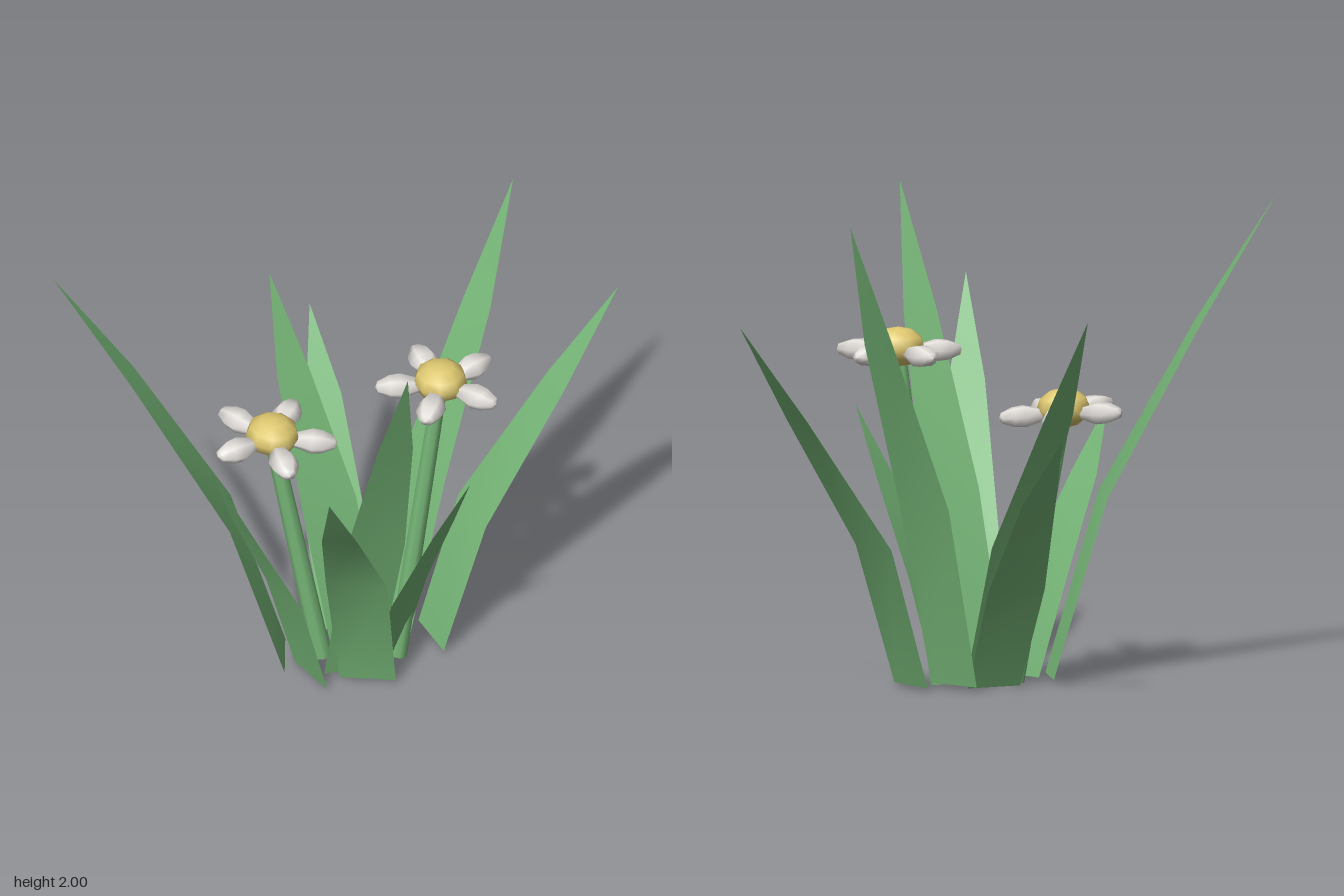
import * as THREE from 'three';

const green = new THREE.MeshStandardMaterial({ color: 0x77b778, side: THREE.DoubleSide });
green.name = 'leaf green';
const white = new THREE.MeshStandardMaterial({ color: 0xe2deda });
white.name = 'petal white';
const yellow = new THREE.MeshStandardMaterial({ color: 0xdec870 });
yellow.name = 'pollen yellow';

// Tapering blade: centre line through [x, z] points, width across the outward direction
function bladeGeometry(height, angle, centres) {
  const levels = [0.01, 0.385, 0.74, 1];
  const halfWidths = [0.117, 0.127, 0.075, 0];
  const wx = -Math.sin(angle), wz = Math.cos(angle);
  const positions = [], index = [];
  centres.forEach(([x, z], i) => {
    for (const s of [-1, 1]) {
      positions.push(x + s * wx * halfWidths[i], height * levels[i], z + s * wz * halfWidths[i]);
    }
    if (i < 3) {
      const a = i * 2;
      index.push(a, a + 2, a + 1);
      if (i < 2) index.push(a + 1, a + 2, a + 3);
    }
  });
  // The tip triangle uses one of the two coincident tip points
  const g = new THREE.BufferGeometry();
  g.setAttribute('position', new THREE.Float32BufferAttribute(positions, 3));
  g.setIndex(index);
  g.computeVertexNormals();
  return g;
}

// Height, outward direction [x, z], then centres at base, lower bend, upper bend and tip
const blades = [
  [2.0, [0.27, -0.96], [[0.20, -0.22], [0.275, -0.365], [0.355, -0.67], [0.405, -0.87]]],
  [2.0, [-0.86, 0.50], [[-0.07, 0.17], [-0.255, 0.30], [-0.595, 0.51], [-0.87, 0.69]]],
  [2.0, [0.70, 0.70], [[0.215, 0.11], [0.38, 0.20], [0.585, 0.38], [0.735, 0.53]]],
  [1.57, [0.54, -0.84], [[0.375, -0.26], [0.48, -0.415], [0.70, -0.72], [0.865, -0.945]]],
  [1.57, [0.43, 0.90], [[0.30, 0.125], [0.33, 0.265], [0.495, 0.675], [0.605, 0.945]]],
  [1.57, [-0.88, -0.47], [[0.10, -0.105], [-0.04, -0.14], [-0.265, -0.22], [-0.42, -0.29]]],
  [1.13, [-0.71, -0.71], [[0.05, -0.15], [-0.10, -0.28], [-0.29, -0.51], [-0.465, -0.69]]],
  [1.13, [-0.40, 0.90], [[0.085, 0.22], [-0.01, 0.28], [-0.12, 0.43], [-0.19, 0.53]]],
  [1.13, [1.0, 0.08], [[0.30, -0.03], [0.425, 0.0], [0.60, 0.02], [0.735, 0.03]]],
];

// Plump petal lying along +x, slightly flattened in y
function petalGeometry() {
  const profile = [[0, 0.06], [0.035, 0.09], [0.062, 0.165], [0.056, 0.21], [0.03, 0.26], [0, 0.27]]
    .map(([r, l]) => new THREE.Vector2(r, l));
  const g = new THREE.LatheGeometry(profile, 6);
  g.rotateZ(-Math.PI / 2);
  g.scale(1, 0.78, 1);
  return g;
}

function createFlower(base, top, startAngle, tilt) {
  const flower = new THREE.Group();
  flower.name = 'flower';

  // Straight stem, thicker at the ground
  const along = new THREE.Vector3().subVectors(top, base);
  const stem = new THREE.Mesh(new THREE.CylinderGeometry(0.033, 0.042, along.length(), 8), green);
  stem.name = 'stem';
  stem.position.addVectors(base, top).multiplyScalar(0.5);
  stem.quaternion.setFromUnitVectors(new THREE.Vector3(0, 1, 0), along.normalize());
  flower.add(stem);

  const head = new THREE.Group();
  head.name = 'flowerHead';
  head.position.copy(top);
  head.rotation.set(tilt[0], 0, tilt[1]);

  const centre = new THREE.Mesh(new THREE.SphereGeometry(0.112, 9, 6), yellow);
  centre.name = 'flowerCentre';
  centre.scale.y = 0.74;
  centre.position.y = 0.02;
  head.add(centre);

  // Ring of five petals
  const geometry = petalGeometry();
  for (let i = 0; i < 5; i++) {
    const petal = new THREE.Mesh(geometry, white);
    petal.name = 'petal';
    petal.rotation.y = -(startAngle + i * Math.PI * 2 / 5);
    head.add(petal);
  }
  flower.add(head);
  return flower;
}

export function createModel() {
  const model = new THREE.Group();
  model.name = 'floweringGrass';
  for (const [height, [dx, dz], centres] of blades) {
    const blade = new THREE.Mesh(bladeGeometry(height, Math.atan2(dz, dx), centres), green);
    blade.name = 'grassBlade';
    model.add(blade);
  }
  model.add(
    createFlower(new THREE.Vector3(0.045, 0.008, 0.07), new THREE.Vector3(-0.135, 1.122, 0.165), 0.75, [-0.04, -0.06]),
    createFlower(new THREE.Vector3(0.31, 0.008, -0.1), new THREE.Vector3(0.455, 1.395, -0.2), 0, [0, 0]),
  );
  return model;
}
